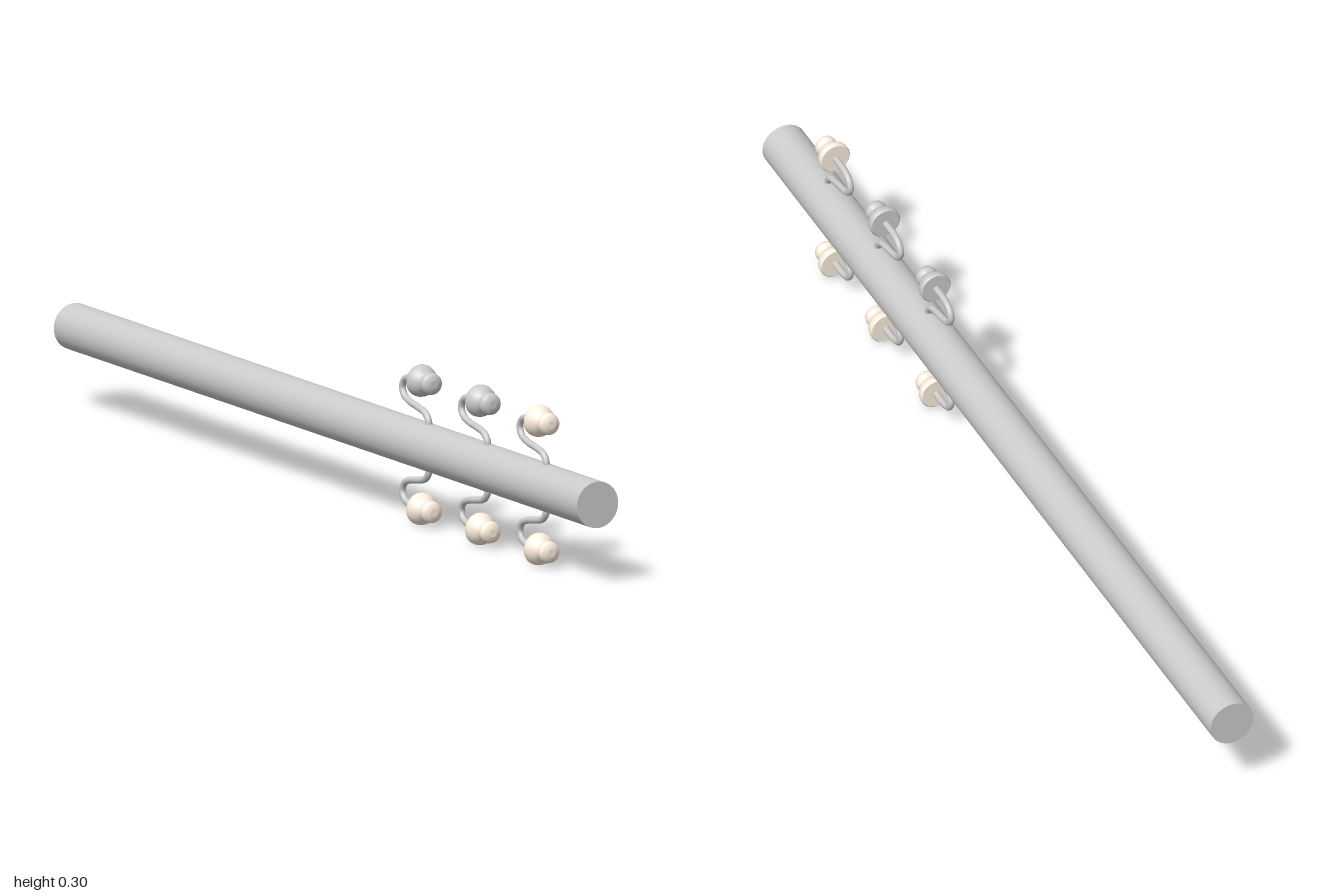
import * as THREE from 'three';

const AXIS_Y = 0.153;

export function createModel() {
  const group = new THREE.Group();
  const grey = new THREE.MeshStandardMaterial({ color: 0xcccccc });
  const cream = new THREE.MeshStandardMaterial({ color: 0xfff0e0 });
  const add = (parent, name, geometry, material) => {
    const mesh = new THREE.Mesh(geometry, material);
    mesh.name = name;
    parent.add(mesh);
    return mesh;
  };

  // Long round pole lying along z
  const pole = add(group, 'pole', new THREE.CylinderGeometry(0.044, 0.044, 2, 48), grey);
  pole.rotation.x = Math.PI / 2;
  pole.position.y = AXIS_Y;

  // Insulator: flared skirt at the back, waist and rounded knob in front
  const profile = [
    [0, 0], [0.028, 0], [0.028, 0], [0.0305, 0.003], [0.0305, 0.008], [0.029, 0.015],
    [0.025, 0.022], [0.019, 0.028], [0.0165, 0.032], [0.0175, 0.035], [0.0205, 0.039],
    [0.021, 0.044], [0.0195, 0.05], [0.015, 0.054], [0.0075, 0.056], [0.0075, 0.056], [0, 0.056],
  ].map(([r, h]) => new THREE.Vector2(r, h));
  const insulatorGeo = new THREE.LatheGeometry(profile, 32);
  insulatorGeo.rotateX(Math.PI / 2);

  // S-shaped hook from the pole surface to the insulator, as [y, z] points
  const hookPath = (side) => new THREE.CatmullRomCurve3([
    [0.036, 0.035], [0.05, 0.034], [0.062, 0.022], [0.069, -0.005], [0.074, -0.035],
    [0.083, -0.058], [0.098, -0.066], [0.113, -0.058], [0.121, -0.035], [0.121, 0.006],
  ].map(([y, z]) => new THREE.Vector3(0, side * y, z)));

  // Three pairs, above and below the pole
  [0.769, 0.545, 0.32].forEach((z, i) => {
    for (const side of [1, -1]) {
      const bracket = new THREE.Group();
      bracket.name = (side > 0 ? 'upper' : 'lower') + 'Bracket' + (i + 1);
      bracket.position.set(0, AXIS_Y, z);
      add(bracket, 'hook', new THREE.TubeGeometry(hookPath(side), 60, 0.0065, 12), grey);
      const insulator = add(bracket, 'insulator', insulatorGeo, side > 0 && i > 0 ? grey : cream);
      insulator.position.y = side * 0.1215;
      group.add(bracket);
    }
  });
  return group;
}
